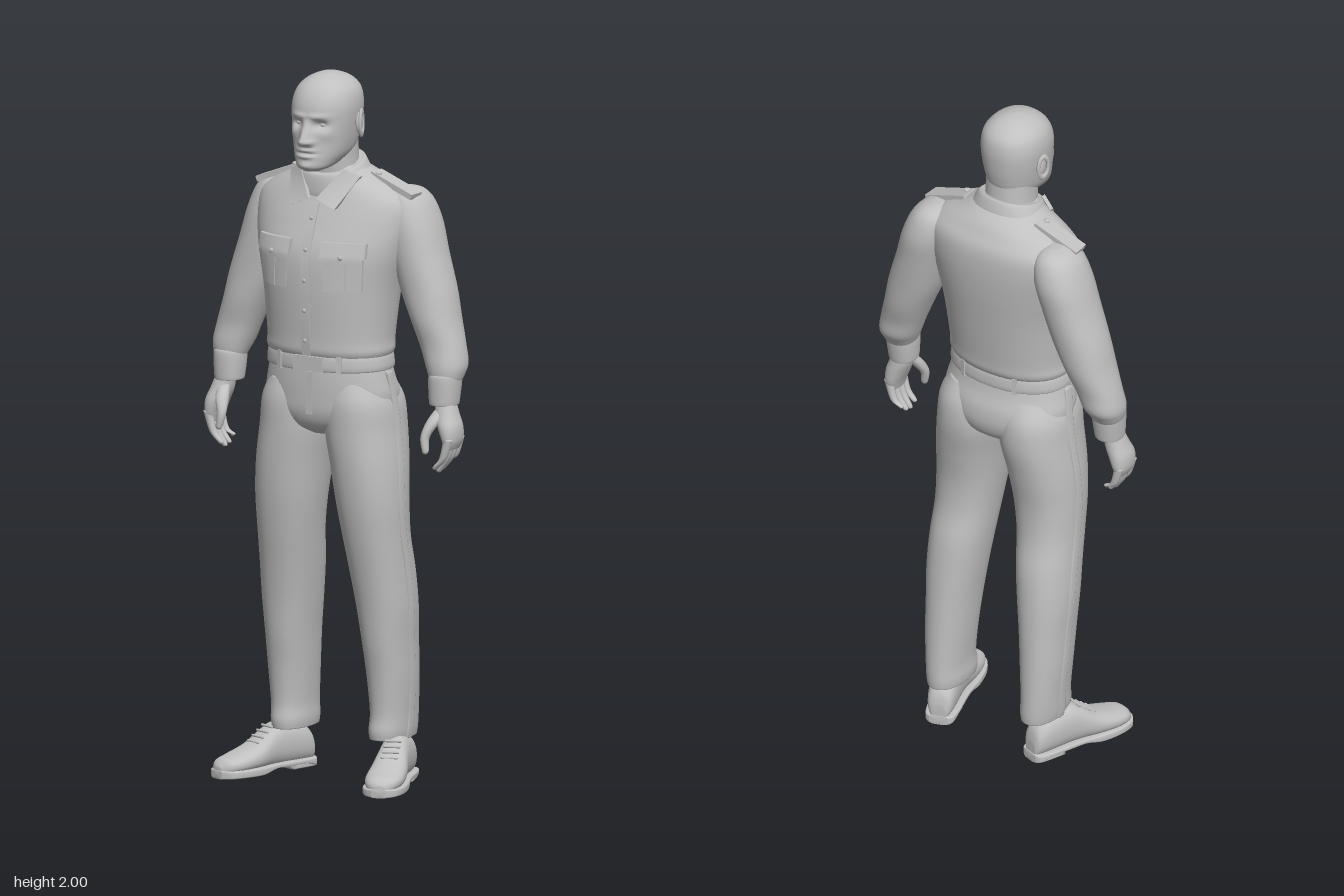
import * as THREE from 'three';

const material = new THREE.MeshStandardMaterial({ color: 0xc0c0c0 });
material.name = 'plain grey';

// Vertical loft. Each section is [y, xMin, xMax, zMin, zMax], listed from low to high.
function loft(sections, { sides = 32, steps = 6, power = 2.2 } = {}) {
  const pos = [], idx = [], rings = (sections.length - 1) * steps;
  const get = (i, k) => sections[Math.min(Math.max(i, 0), sections.length - 1)][k];
  const sample = (t, k) => {
    const i = Math.min(Math.floor(t), sections.length - 2), f = t - i;
    const [a, b, c, d] = [get(i - 1, k), get(i, k), get(i + 1, k), get(i + 2, k)];
    return b + 0.5 * f * (c - a + f * (2 * a - 5 * b + 4 * c - d + f * (3 * (b - c) + d - a)));
  };
  const bend = v => Math.sign(v) * Math.abs(v) ** (2 / power);
  for (let i = 0; i <= rings; i++) {
    const [y, x0, x1, z0, z1] = [0, 1, 2, 3, 4].map(k => sample(i / steps, k));
    for (let j = 0; j < sides; j++) {
      const a = (j / sides) * Math.PI * 2;
      pos.push((x0 + x1 + (x1 - x0) * bend(Math.cos(a))) / 2, y, (z0 + z1 + (z1 - z0) * bend(Math.sin(a))) / 2);
    }
  }
  const base = (rings + 1) * sides;
  for (const s of [sections[0], sections[sections.length - 1]]) pos.push((s[1] + s[2]) / 2, s[0], (s[3] + s[4]) / 2);
  for (let j = 0; j < sides; j++) {
    const n = (j + 1) % sides, top = rings * sides;
    for (let i = 0; i < rings; i++) {
      const p = i * sides, q = p + sides;
      idx.push(p + j, q + j, p + n, p + n, q + j, q + n);
    }
    idx.push(base, j, n, base + 1, top + n, top + j);
  }
  const g = new THREE.BufferGeometry();
  g.setAttribute('position', new THREE.Float32BufferAttribute(pos, 3));
  g.setIndex(idx);
  g.computeVertexNormals();
  return g;
}

// Symmetric sections: [y, halfWidth, zMin, zMax]
const even = list => list.map(([y, w, a, b]) => [y, -w, w, a, b]);

const shirt = even([
  [1.2, 0.172, -0.12, 0.115], [1.225, 0.186, -0.138, 0.13], [1.27, 0.186, -0.144, 0.132],
  [1.4, 0.2, -0.162, 0.138], [1.5, 0.222, -0.175, 0.133], [1.58, 0.238, -0.18, 0.105],
  [1.64, 0.235, -0.175, 0.08], [1.68, 0.19, -0.155, 0.065], [1.71, 0.13, -0.135, 0.055], [1.74, 0.08, -0.1, 0.04]]);

// Height of the shirt's front surface at (x, y)
function chest(x, y) {
  let i = 0;
  while (i < shirt.length - 2 && shirt[i + 1][0] < y) i++;
  const f = (y - shirt[i][0]) / (shirt[i + 1][0] - shirt[i][0]);
  const [w, a, b] = [2, 3, 4].map(k => shirt[i][k] + f * (shirt[i + 1][k] - shirt[i][k]));
  const r = Math.min(Math.abs(x) / w, 1);
  return (a + b) / 2 + ((b - a) / 2) * (1 - r ** 2.2) ** (1 / 2.2);
}

// Thin four-cornered panel; corners run bottom-left, bottom-right, top-right, top-left.
function panel(corners, thick, drape = true) {
  const g = new THREE.BoxGeometry(1, 1, thick, 8, 8, 1), p = g.attributes.position;
  for (let i = 0; i < p.count; i++) {
    const u = p.getX(i) + 0.5, v = p.getY(i) + 0.5;
    const w = [(1 - u) * (1 - v), u * (1 - v), u * v, (1 - u) * v];
    const c = k => corners.reduce((s, q, n) => s + (q[k] ?? 0) * w[n], 0);
    const x = c(0), y = c(1);
    p.setXYZ(i, x, y, c(2) + p.getZ(i) + (drape ? chest(x, y) : 0));
  }
  g.computeVertexNormals();
  return g;
}

function mirrored(source) {
  const g = source.clone();
  const p = g.attributes.position, ix = g.index;
  for (let i = 0; i < p.count; i++) p.setX(i, -p.getX(i));
  for (let i = 0; i < ix.count; i += 3) {
    const t = ix.getX(i);
    ix.setX(i, ix.getX(i + 1));
    ix.setX(i + 1, t);
  }
  g.computeVertexNormals();
  return g;
}

// Bald head with the face modelled by soft bumps on the front
function headGeometry() {
  const g = loft(even([
    [1.735, 0.022, 0.06, 0.122], [1.746, 0.046, 0.02, 0.136], [1.766, 0.062, -0.04, 0.138], [1.79, 0.074, -0.075, 0.134],
    [1.83, 0.083, -0.088, 0.13], [1.88, 0.09, -0.095, 0.127], [1.92, 0.091, -0.096, 0.122], [1.955, 0.082, -0.088, 0.105],
    [1.98, 0.06, -0.065, 0.078], [1.995, 0.03, -0.03, 0.042], [2, 0.005, 0, 0.01]]), { sides: 112, steps: 9 });
  const p = g.attributes.position;
  const bump = (v, c, s) => Math.exp(-(((v - c) / s) ** 2));
  for (let i = 0; i < p.count; i++) {
    const x = Math.abs(p.getX(i)), y = p.getY(i), z = p.getZ(i);
    if (z < 0.03) continue;
    const bridge = y > 1.82 ? Math.max(0, 1 - (y - 1.82) / 0.065) : bump(y, 1.82, 0.009);
    let d = 0.034 * bridge * bump(x, 0, 0.013 + 0.004 * bridge);
    d += 0.009 * bump(x, 0.017, 0.007) * bump(y, 1.817, 0.009);
    d -= 0.016 * bump(x, 0.036, 0.019) * bump(y, 1.867, 0.012);
    d += 0.006 * bump(x, 0.028, 0.03) * bump(y, 1.89, 0.008);
    d += 0.005 * bump(x, 0.055, 0.014) * bump(y, 1.84, 0.015);
    d += 0.008 * bump(x, 0, 0.024) * (bump(y, 1.796, 0.006) + bump(y, 1.779, 0.006));
    d -= 0.006 * bump(x, 0, 0.024) * bump(y, 1.787, 0.003);
    d += 0.006 * bump(x, 0, 0.02) * bump(y, 1.752, 0.01);
    p.setZ(i, z + d);
  }
  g.computeVertexNormals();
  return g;
}

export function createModel() {
  const model = new THREE.Group();
  const add = (name, g) => {
    const m = new THREE.Mesh(g, material);
    m.name = name;
    model.add(m);
  };
  const pair = (name, g) => { add(name + 'Left', g); add(name + 'Right', mirrored(g)); };
  const ball = (x, y, z, a, b, c) => new THREE.SphereGeometry(1, 20, 14).scale(a, b, c).translate(x, y, z);

  // Head and neck
  add('head', headGeometry());
  add('neck', loft(even([[1.62, 0.08, -0.1, 0.06], [1.7, 0.074, -0.09, 0.055], [1.76, 0.07, -0.085, 0.06], [1.82, 0.07, -0.08, 0.06]])));
  pair('eye', ball(0.036, 1.867, 0.097, 0.013, 0.008, 0.012));
  pair('ear', ball(0.093, 1.862, 0.002, 0.008, 0.03, 0.016).rotateY(0.03));
  pair('earRim', new THREE.TorusGeometry(0.017, 0.005, 8, 24).scale(1, 1.9, 1).rotateY(Math.PI / 2 + 0.3).translate(0.099, 1.862, -0.002));

  // Shirt, collar, placket and buttons
  add('shirt', loft(shirt, { sides: 64 }));
  const collar = loft(even([[1.655, 0.118, -0.112, 0.07], [1.69, 0.113, -0.112, 0.075], [1.735, 0.09, -0.1, 0.07], [1.738, 0.08, -0.092, 0.055]]));
  const cp = collar.attributes.position;
  for (let i = 0; i < cp.count; i++) cp.setY(i, cp.getY(i) - 0.3 * cp.getZ(i));
  collar.computeVertexNormals();
  add('collar', collar);
  pair('collarPoint', panel([[0.012, 1.655, 0.094], [0.072, 1.63, 0.092], [0.112, 1.715, 0.02], [0.07, 1.735, 0.04]], 0.014, false));
  add('placket', panel([[-0.014, 1.215], [0.014, 1.215], [0.014, 1.64], [-0.014, 1.64]], 0.01));
  for (let i = 0; i < 5; i++) {
    const y = 1.26 + i * 0.085;
    add('shirtButton', ball(0, y, chest(0, y) + 0.006, 0.006, 0.006, 0.003));
  }

  // Chest pockets with pointed flaps
  pair('pocket', panel([[0.062, 1.405], [0.158, 1.405], [0.165, 1.53], [0.055, 1.53]], 0.018));
  pair('pocketPleat', panel([[0.1, 1.406], [0.122, 1.406], [0.122, 1.5], [0.1, 1.5]], 0.028));
  pair('flapInner', panel([[0.05, 1.5], [0.111, 1.482], [0.111, 1.542], [0.05, 1.542]], 0.032));
  pair('flapOuter', panel([[0.111, 1.482], [0.17, 1.5], [0.17, 1.542], [0.111, 1.542]], 0.032));
  pair('pocketButton', ball(0.111, 1.503, chest(0.111, 1.503) + 0.018, 0.007, 0.007, 0.004));

  // Shoulder straps
  pair('shoulderStrap', new THREE.BoxGeometry(0.145, 0.016, 0.05).rotateZ(-0.36).rotateY(-0.06).translate(0.184, 1.689, -0.045));
  pair('strapButton', ball(0.135, 1.717, -0.035, 0.009, 0.005, 0.009));

  // Sleeves and cuffs
  pair('sleeve', loft([
    [1.14, 0.312, 0.385, -0.08, 0], [1.17, 0.298, 0.396, -0.1, 0.006], [1.2, 0.285, 0.4, -0.118, 0.007],
    [1.25, 0.265, 0.39, -0.125, 0.004], [1.32, 0.235, 0.37, -0.142, 0.01], [1.4, 0.2, 0.352, -0.152, 0.01],
    [1.5, 0.17, 0.32, -0.163, 0.012], [1.58, 0.15, 0.297, -0.17, 0.01], [1.64, 0.145, 0.272, -0.158, -0.002],
    [1.67, 0.16, 0.245, -0.135, -0.02], [1.682, 0.185, 0.215, -0.1, -0.05]]));
  pair('cuff', loft([[1.09, 0.312, 0.384, -0.076, 0.006], [1.095, 0.307, 0.387, -0.08, 0.01],
    [1.165, 0.303, 0.392, -0.09, 0.01], [1.175, 0.315, 0.385, -0.08, 0]]));

  // Hands
  pair('palm', loft([[0.97, 0.368, 0.396, -0.05, 0.015], [0.995, 0.36, 0.406, -0.062, 0.024], [1.03, 0.345, 0.406, -0.064, 0.024],
    [1.065, 0.332, 0.394, -0.062, 0.012], [1.12, 0.325, 0.375, -0.058, -0.006]]));
  for (let i = 0; i < 4; i++) {
    const z = -0.05 + i * 0.021, drop = [0.022, 0.005, 0, 0.01][i];
    pair('finger', loft([[0.9 + drop, 0.344, 0.35, z - 0.003, z + 0.003], [0.907 + drop, 0.339, 0.357, z - 0.008, z + 0.008],
      [0.945, 0.361, 0.383, z - 0.01, z + 0.01], [1.0, 0.374, 0.402, z - 0.011, z + 0.011]], { sides: 12, power: 2 }));
  }
  pair('thumb', loft([[0.958, 0.33, 0.336, 0.042, 0.048], [0.967, 0.324, 0.343, 0.035, 0.054], [1.005, 0.316, 0.342, 0.024, 0.052],
    [1.045, 0.322, 0.36, -0.005, 0.035], [1.08, 0.335, 0.365, -0.03, 0]], { sides: 14, power: 2 }));

  // Trousers
  add('trouserSeat', loft(even([[0.985, 0.06, -0.09, 0.06], [1.01, 0.13, -0.135, 0.1], [1.05, 0.185, -0.152, 0.117],
    [1.1, 0.195, -0.15, 0.12], [1.15, 0.186, -0.134, 0.12], [1.21, 0.172, -0.122, 0.117]]), { sides: 48 }));
  const leg = [
    [0.125, 0.107, 0.208, -0.165, 0.016], [0.15, 0.104, 0.212, -0.167, 0.018], [0.2, 0.105, 0.215, -0.166, 0.012],
    [0.3, 0.097, 0.222, -0.162, 0.02], [0.4, 0.088, 0.225, -0.158, 0.035], [0.5, 0.075, 0.23, -0.152, 0.048],
    [0.6, 0.062, 0.228, -0.142, 0.065], [0.7, 0.05, 0.225, -0.122, 0.084], [0.8, 0.035, 0.225, -0.12, 0.1],
    [0.9, 0.02, 0.22, -0.135, 0.11], [1.0, 0.002, 0.208, -0.152, 0.115], [1.08, 0.004, 0.198, -0.148, 0.115],
    [1.14, 0.02, 0.17, -0.12, 0.1]];
  pair('trouserLeg', loft(leg, { sides: 40 }));
  pair('sideStripe', loft([...leg.slice(0, 12), [1.17, 0, 0.186, -0.13, 0.12]].map(([y, , x, a, b]) =>
    [y, x - 0.008, x + 0.004, (a + b) / 2 - 0.014, (a + b) / 2 + 0.014]), { sides: 12, power: 5 }));
  add('fly', panel([[-0.006, 1.05, 0.119], [0.012, 1.05, 0.119], [0.016, 1.17, 0.12], [-0.006, 1.17, 0.12]], 0.008, false));

  // Belt, buckle and loops
  add('belt', loft(even([[1.174, 0.176, -0.126, 0.121], [1.177, 0.186, -0.135, 0.128],
    [1.213, 0.182, -0.133, 0.127], [1.216, 0.174, -0.126, 0.12]]), { sides: 64, steps: 3 }));
  add('buckle', new THREE.BoxGeometry(0.09, 0.042, 0.012).translate(0.005, 1.195, 0.128));
  pair('beltLoop', new THREE.BoxGeometry(0.014, 0.05, 0.01).rotateY(0.35).translate(0.095, 1.195, 0.112));
  pair('rearBeltLoop', new THREE.BoxGeometry(0.014, 0.05, 0.01).rotateY(-0.3).translate(0.085, 1.195, -0.121));

  // Shoes, laid along their length then turned outward
  const place = g => g.rotateX(Math.PI / 2).rotateY(0.32).translate(0.155, 0, -0.145);
  const shoe = [[0, 0.02, 0.06], [0.012, 0.034, 0.1], [0.05, 0.041, 0.13], [0.12, 0.042, 0.138], [0.16, 0.045, 0.122],
    [0.21, 0.052, 0.088], [0.27, 0.053, 0.066], [0.315, 0.04, 0.054], [0.335, 0.014, 0.036]];
  pair('shoe', place(loft(even(shoe.map(([l, w, h]) => [l, w, -h, -0.012])), { power: 2.3 })));
  pair('sole', place(loft(even(shoe.map(([l, w], i) =>
    [l * 1.02 - 0.003, w + 0.006, -0.026, i > 1 && i < 5 ? -0.013 : -0.002])), { power: 6 })));
  pair('shoeHeel', place(loft(even([[-0.004, 0.02, -0.022, 0], [0.012, 0.038, -0.022, 0], [0.09, 0.043, -0.022, 0]]), { power: 7 })));
  for (let i = 0; i < 4; i++) {
    const l = 0.155 + i * 0.017, h = 0.127 - i * 0.0125;
    pair('lace', place(new THREE.CapsuleGeometry(0.004, 0.042, 4, 8).rotateZ(Math.PI / 2).translate(0, l, -h)));
  }
  return model;
}
